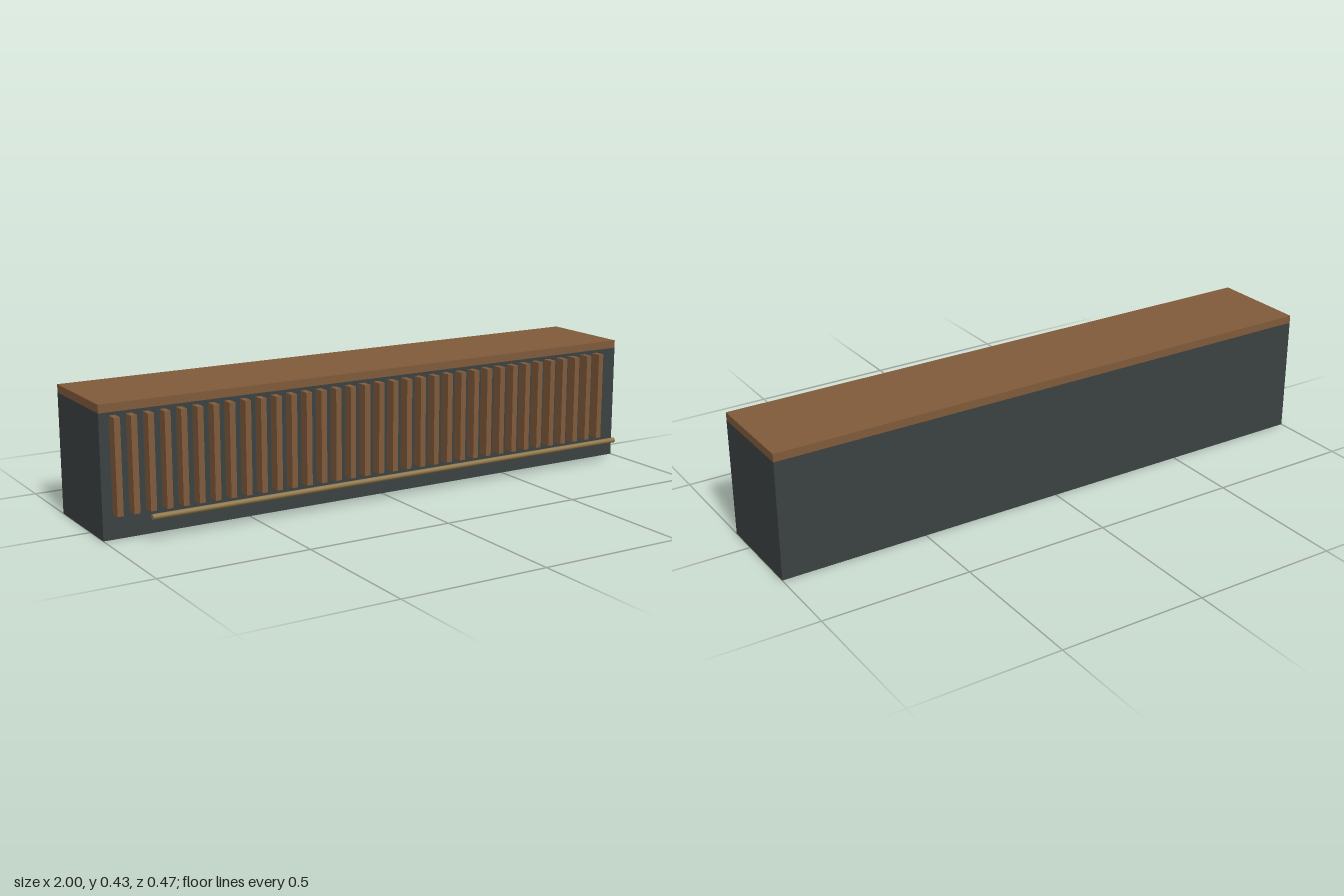
import * as THREE from 'three';

export function createModel() {
  const model = new THREE.Group();
  model.name = 'barCounter';

  const darkPanel = new THREE.MeshStandardMaterial({ color: 0x3b4142 });
  darkPanel.name = 'dark panel';
  const wood = new THREE.MeshStandardMaterial({ color: 0x805b3a });
  wood.name = 'warm wood';
  const brass = new THREE.MeshStandardMaterial({ color: 0x8f7648 });
  brass.name = 'aged brass';

  const add = (parent, name, geometry, material, x, y, z) => {
    const mesh = new THREE.Mesh(geometry, material);
    mesh.name = name;
    mesh.position.set(x, y, z);
    parent.add(mesh);
    return mesh;
  };

  // Counter body and the wooden top lying flush on it
  const depth = 0.34, centreZ = -0.065;
  add(model, 'counterBody', new THREE.BoxGeometry(2, 0.4, depth), darkPanel, 0, 0.2, centreZ);
  add(model, 'counterTop', new THREE.BoxGeometry(2, 0.027, depth), wood, 0, 0.4135, centreZ);

  // Row of upright slats along the front
  const slats = new THREE.Group();
  slats.name = 'frontSlats';
  model.add(slats);
  const slatGeometry = new THREE.BoxGeometry(0.02, 0.308, 0.038);
  const count = 35, firstX = -0.956, lastX = 0.906;
  for (let i = 0; i < count; i++) {
    const x = firstX + (lastX - firstX) * i / (count - 1);
    add(slats, 'slat', slatGeometry, wood, x, 0.236, 0.124);
  }

  // Foot rail standing clear of the front
  const rail = add(model, 'footRail', new THREE.CylinderGeometry(0.009, 0.009, 1.795, 10), brass, 0.008, 0.092, 0.227);
  rail.rotation.z = Math.PI / 2;

  return model;
}
